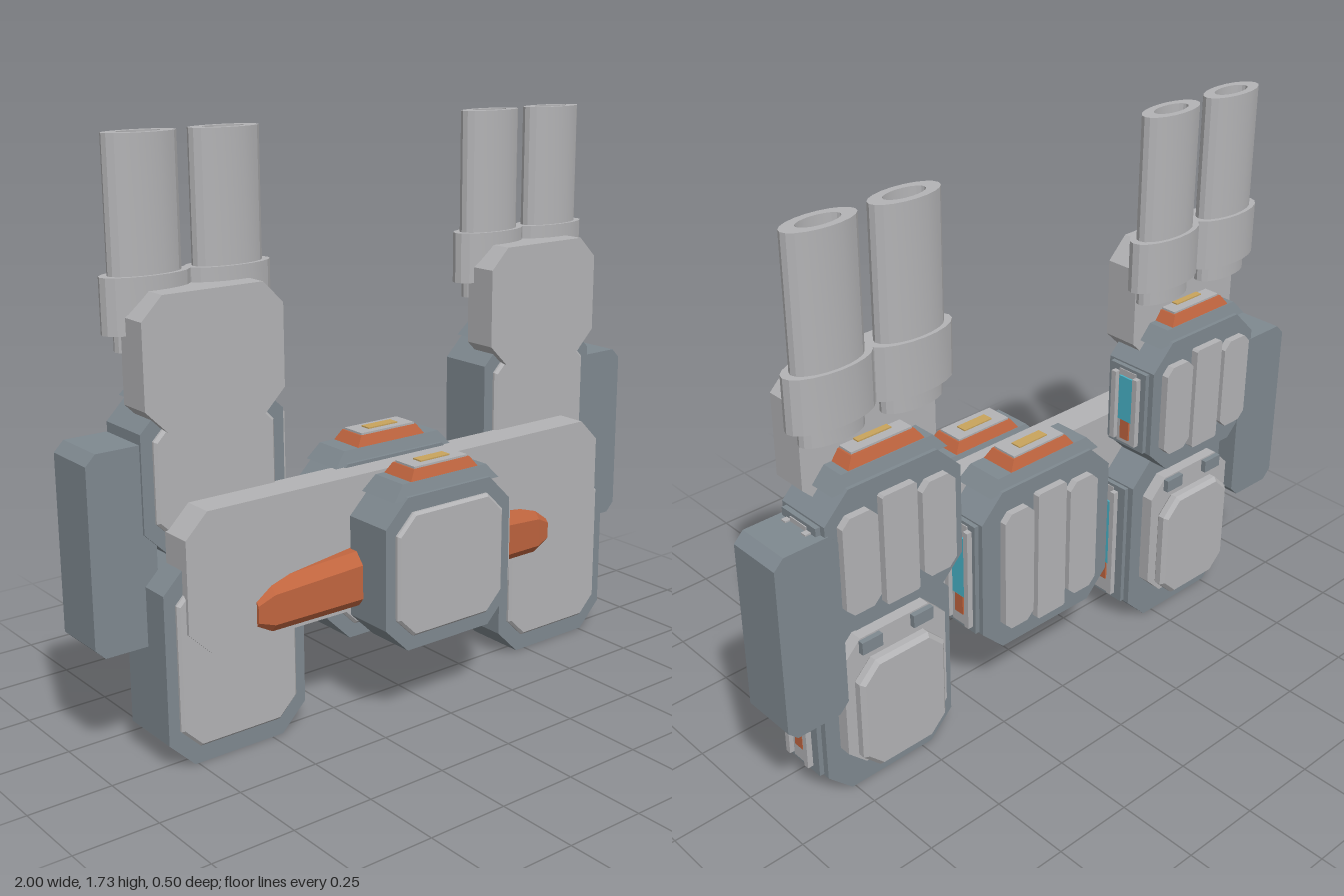
import * as THREE from 'three';
import { toCreasedNormals } from 'three/addons/utils/BufferGeometryUtils.js';

const material = (name, color) => {
  const m = new THREE.MeshStandardMaterial({ color });
  m.name = name;
  return m;
};
const light = material('light grey', 0xb3b3b5);
const dark = material('slate grey', 0x7f8990);
const orange = material('orange', 0xc0653f);
const cyan = material('cyan', 0x48b4c9);
const gold = material('gold', 0xc9a45c);

function add(parent, name, geometry, mat, x = 0, y = 0, z = 0) {
  const mesh = new THREE.Mesh(geometry, mat);
  mesh.name = name;
  mesh.position.set(x, y, z);
  parent.add(mesh);
  return mesh;
}

const box = (w, h, d) => new THREE.BoxGeometry(w, h, d);

// Slab with cut corners, centred, facing z; optional bevel on its rims
function slab(w, h, d, c, bevel = 0) {
  const a = w / 2 - bevel, b = h / 2 - bevel;
  const corners = [[a, c - b], [a, b - c], [a - c, b], [c - a, b], [-a, b - c], [-a, c - b], [c - a, -b], [a - c, -b]];
  const shape = new THREE.Shape(corners.map(([x, y]) => new THREE.Vector2(x, y)));
  const g = new THREE.ExtrudeGeometry(shape, {
    depth: d - 2 * bevel, bevelEnabled: bevel > 0, bevelThickness: bevel, bevelSize: bevel, bevelSegments: 1,
  });
  return g.translate(0, 0, bevel - d / 2);
}

// Box standing on y = 0 whose top is drawn in
function frustum(w, h, d, inX, inZ) {
  const g = box(w, h, d).translate(0, h / 2, 0).toNonIndexed();
  const p = g.attributes.position;
  for (let i = 0; i < p.count; i++) {
    if (p.getY(i) < h / 2) continue;
    p.setX(i, p.getX(i) - Math.sign(p.getX(i)) * inX);
    p.setZ(i, p.getZ(i) - Math.sign(p.getZ(i)) * inZ);
  }
  g.computeVertexNormals();
  return g;
}

// Armoured pod: body, front plate, lamp on its left side, back plates, top hatch
function pod(parent, name, { x, y0, y1, z0, z1, w, plate, back, hatch = true }) {
  const g = new THREE.Group();
  g.name = name;
  const h = y1 - y0, d = z1 - z0;
  g.position.set(x, (y0 + y1) / 2, (z0 + z1) / 2);
  parent.add(g);
  add(g, 'podBody', slab(w, h, d, 0.08), dark);
  add(g, 'frontPlate', slab(w - 0.07, plate ?? h - 0.09, 0.03, 0.055, 0.008), light, 0, 0, d / 2);

  // Side lamp
  const sx = w / 2, sh = h - 0.17;
  add(g, 'lampBase', box(0.03, sh, d * 0.8), dark, sx);
  for (const s of [-1, 1]) add(g, 'lampRail', box(0.05, sh - 0.04, 0.018), light, sx + 0.008, 0, s * 0.043);
  add(g, 'lampBed', box(0.036, sh - 0.02, 0.068), light, sx);
  const lit = sh * 0.55;
  add(g, 'lamp', box(0.008, lit, 0.055), cyan, sx + 0.02, 0.03);
  add(g, 'lampFoot', box(0.008, 0.065, 0.035), orange, sx + 0.02, 0.03 - lit / 2 - 0.033);

  // Back plates
  if (back === 'ribs') {
    for (const s of [-1, 0, 1]) {
      add(g, 'backRib', slab(0.115, h - (s ? 0.14 : 0.1), 0.03, s ? 0.025 : 0.006), light, s * 0.132, 0, -d / 2 - 0.008);
    }
  } else if (back === 'shield') {
    add(g, 'backShield', slab(0.36, h - 0.17, 0.04, 0.06), light, 0, 0.02, -d / 2 - 0.018);
    add(g, 'backShieldTop', slab(0.3, h - 0.23, 0.045, 0.05, 0.012), light, 0, -0.02, -d / 2 - 0.055);
    for (const s of [-1, 1]) add(g, 'backTab', box(0.07, 0.04, 0.04), dark, s * 0.09, h / 2 - 0.09, -d / 2 - 0.035);
  }

  // Top hatch
  if (hatch) {
    add(g, 'hatchBase', frustum(w * 0.84, 0.045, d * 0.9, 0.04, 0.012), dark, 0, h / 2 - 0.01);
    add(g, 'hatch', frustum(0.26, 0.035, d * 0.76, 0.025, 0.014), orange, 0, h / 2 + 0.03);
    add(g, 'hatchPlate', box(0.2, 0.008, d * 0.52), light, 0, h / 2 + 0.067);
    add(g, 'hatchMark', box(0.11, 0.006, 0.035), gold, 0, h / 2 + 0.072);
  }
}

// Faceted bar joined through cross-sections [x, bottom, top, front]
function barGeometry(sections, zBack) {
  const pos = [], idx = [], n = 6;
  for (const [x, y0, y1, zf] of sections) {
    pos.push(x, y0, zBack, x, y0, zf - 0.02, x, y0 + 0.025, zf, x, y1 - 0.035, zf, x, y1, zf - 0.03, x, y1, zBack);
  }
  for (let i = 0; i < sections.length - 1; i++) {
    for (let j = 0; j < n; j++) {
      const a = i * n + j, b = i * n + (j + 1) % n, c = b + n, d = a + n;
      idx.push(a, d, c, a, c, b);
    }
  }
  const last = (sections.length - 1) * n;
  for (let k = 1; k < n - 1; k++) idx.push(0, k, k + 1, last, last + k + 1, last + k);
  const g = new THREE.BufferGeometry();
  g.setAttribute('position', new THREE.Float32BufferAttribute(pos, 3));
  g.setIndex(idx);
  const flat = g.toNonIndexed();
  flat.computeVertexNormals();
  return flat;
}

// Open oval barrel with collar
function barrelGeometry() {
  const profile = [[0.065, 1.155], [0.1, 1.155], [0.1, 1.205], [0.135, 1.205], [0.135, 1.36],
    [0.11, 1.36], [0.11, 1.73], [0.065, 1.73], [0.065, 1.155]];
  const g = new THREE.LatheGeometry(profile.map(([x, y]) => new THREE.Vector2(x, y)), 20);
  g.scale(1, 1, 0.46);
  return toCreasedNormals(g, 0.25);
}

export function createModel() {
  const model = new THREE.Group();
  model.name = 'twinCannonRig';

  // Cross beam and orange brace
  add(model, 'crossBeam', slab(1.56, 0.41, 0.105, 0.07), light, 0, 0.535, 0.013);
  add(model, 'brace', barGeometry([
    [-0.56, 0.355, 0.465, 0.075], [-0.51, 0.34, 0.49, 0.085], [-0.2, 0.365, 0.53, 0.135],
    [0.2, 0.365, 0.53, 0.135], [0.51, 0.34, 0.49, 0.085], [0.56, 0.355, 0.465, 0.075],
  ], 0.04), orange);

  // Centre pods
  pod(model, 'frontCentrePod', { x: 0, y0: 0.24, y1: 0.705, z0: 0.07, z1: 0.235, w: 0.47 });
  pod(model, 'rearCentrePod', { x: 0, y0: 0.205, y1: 0.75, z0: -0.17, z1: -0.01, w: 0.52, back: 'ribs' });

  const barrel = barrelGeometry();
  for (const [side, s] of [['left', 1], ['right', -1]]) {
    const tower = new THREE.Group();
    tower.name = side + 'Tower';
    model.add(tower);
    const x = s * 0.612;
    pod(tower, 'lowerPod', { x, y0: 0, y1: 0.6, z0: -0.163, z1: 0.04, w: 0.456, plate: 0.49, back: 'shield', hatch: false });
    pod(tower, 'upperPod', { x, y0: 0.59, y1: 1.03, z0: -0.225, z1: -0.045, w: 0.456, back: 'ribs' });

    // Outer armour wing
    add(tower, 'wing', slab(0.2, 0.575, 0.175, 0.03), dark, s * 0.9, 0.633, -0.14);

    // Cannon mount and barrels
    add(tower, 'cannonShield', slab(0.445, 0.37, 0.11, 0.065), light, x, 1.135, -0.077);
    for (const bx of [0.485, 0.745]) add(tower, 'barrel', barrel, light, s * bx, 0, -0.15);
  }
  return model;
}
